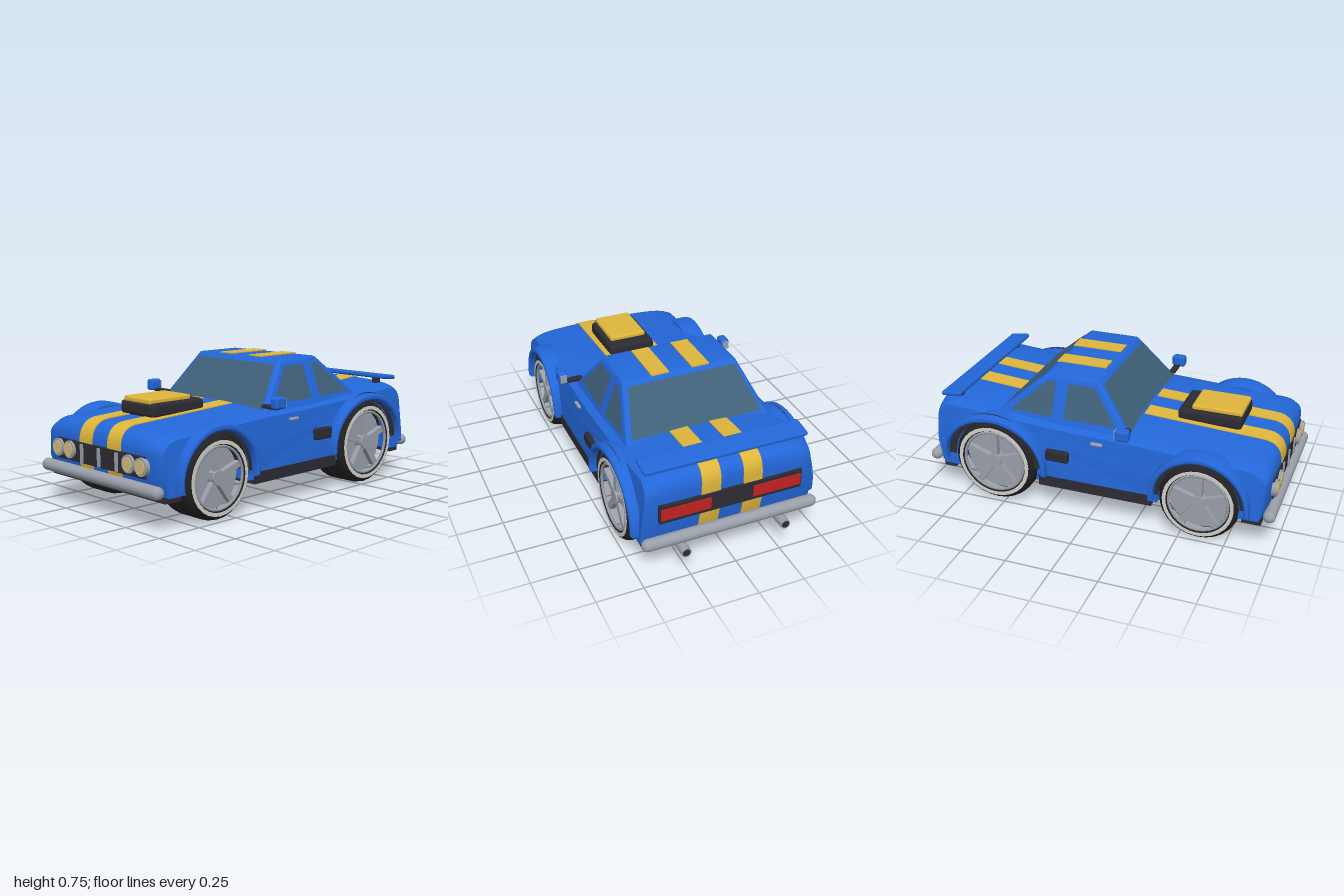
import * as THREE from 'three';
import { toCreasedNormals } from 'three/addons/utils/BufferGeometryUtils.js';
import { RoundedBoxGeometry } from 'three/addons/geometries/RoundedBoxGeometry.js';
import { ConvexGeometry } from 'three/addons/geometries/ConvexGeometry.js';

const paint = (name, color, side = THREE.FrontSide) => new THREE.MeshStandardMaterial({ name, color, side });
const HALF = 0.47; // half width of the body
const AXLES = [
  { name: 'front', z: 0.6, y: 0.217, r: 0.217, arch: 0.225, rx: 0.27, ry: 0.275 },
  { name: 'rear', z: -0.555, y: 0.237, r: 0.237, arch: 0.245, rx: 0.31, ry: 0.28 },
];

// Extrude a (z, y) side profile across x, from x0 to x1
function across(shape, x0, x1, options = {}) {
  const g = new THREE.ExtrudeGeometry(shape, { depth: x1 - x0, bevelEnabled: false, curveSegments: 12, ...options });
  return g.rotateY(-Math.PI / 2).translate(x1, 0, 0);
}

// Crown the top, round its long edges and lean the sides in
function crown(g) {
  const p = g.attributes.position;
  for (let i = 0; i < p.count; i++) {
    const x = p.getX(i), y = p.getY(i), z = p.getZ(i), t = Math.min(1, Math.abs(x) / HALF);
    const inArch = AXLES.some(a => Math.hypot(z - a.z, y - a.y) < a.arch + 0.004);
    const w = inArch ? 0 : THREE.MathUtils.clamp((y - 0.36) / 0.09, 0, 1);
    p.setXYZ(i, x * (1 - 0.2 * Math.max(0, y - 0.3)), y - w * (0.02 * t ** 2 + 0.02 * t ** 10), z * (1 - 0.02 * t ** 10));
  }
  return toCreasedNormals(g, 0.6);
}

// Thin band that follows a run of profile points
function ribbon(pts, x0, x1) {
  const shift = d => pts.map((p, i) => {
    const a = pts[Math.max(0, i - 1)], b = pts[Math.min(pts.length - 1, i + 1)];
    const t = b.clone().sub(a).normalize();
    return new THREE.Vector2(p.x + t.y * d, p.y - t.x * d);
  });
  return crown(across(new THREE.Shape([...shift(0.005), ...shift(-0.004).reverse()]), x0, x1));
}

export function createModel() {
  const car = new THREE.Group();
  car.name = 'car';
  const blue = paint('blue paint', 0x2367d9), gold = paint('gold stripe', 0xdfb63c);
  const trim = paint('black trim', 0x2b2b32, THREE.DoubleSide), rubber = paint('rubber', 0x222226);
  const glass = paint('tinted glass', 0x3f6079, THREE.DoubleSide), chrome = paint('chrome', 0x9aa0aa);
  const cream = paint('lamp lens', 0xd3bd82), red = paint('tail lamp', 0xc32222), white = paint('whitewall', 0xd2d1c9);

  const add = (name, geo, mat, x = 0, y = 0, z = 0, parent = car) => {
    const m = new THREE.Mesh(geo, mat);
    m.name = name;
    m.position.set(x, y, z);
    parent.add(m);
    return m;
  };
  const box = (name, mat, w, h, d, x, y, z, r = 0) =>
    add(name, r ? new RoundedBoxGeometry(w, h, d, 2, r) : new THREE.BoxGeometry(w, h, d), mat, x, y, z);

  // Body shell with open wheel arches
  const body = new THREE.Shape();
  body.moveTo(0.93, 0.165).lineTo(0.955, 0.25).lineTo(0.955, 0.37);
  body.quadraticCurveTo(0.95, 0.465, 0.86, 0.475);
  body.lineTo(0.2, 0.51).lineTo(-0.15, 0.515).lineTo(-0.5, 0.535).lineTo(-0.83, 0.56);
  body.quadraticCurveTo(-0.92, 0.56, -0.92, 0.46);
  body.lineTo(-0.92, 0.3).lineTo(-0.89, 0.165);
  for (const a of [AXLES[1], AXLES[0]]) {
    const s = Math.asin((a.y - 0.165) / a.arch);
    body.absarc(a.z, a.y, a.arch, Math.PI + s, -s, true);
  }
  const shell = across(body, -HALF, HALF, { steps: 16 });
  const sp = shell.attributes.position;
  for (let i = 0; i < sp.count; i++) sp.setX(i, HALF * Math.sin(sp.getX(i) / HALF * Math.PI / 2));
  add('bodyShell', crown(shell), blue);

  // Racing stripes over nose, roof and tail
  const nose = new THREE.Path();
  nose.moveTo(0.948, 0.225).lineTo(0.955, 0.25).lineTo(0.955, 0.37);
  nose.quadraticCurveTo(0.95, 0.465, 0.86, 0.475).lineTo(0.2, 0.51);
  const tail = new THREE.Path();
  tail.moveTo(-0.52, 0.5365).lineTo(-0.83, 0.56);
  tail.quadraticCurveTo(-0.92, 0.56, -0.92, 0.46).lineTo(-0.92, 0.3).lineTo(-0.9, 0.215);
  for (const x of [-0.117, 0.117]) {
    add('noseStripe', ribbon(nose.getPoints(12), x - 0.053, x + 0.053), gold);
    add('tailStripe', ribbon(tail.getPoints(12), x - 0.053, x + 0.053), gold);
    box('roofStripe', gold, 0.1, 0.009, 0.28, x * 0.98, 0.741, -0.16);
  }

  // Underside and sills
  box('floor', trim, 0.5, 0.2, 1.76, 0, 0.24, 0.01);
  box('sills', trim, 0.95, 0.06, 0.64, 0, 0.17, 0.025);
  box('noseValance', trim, 0.92, 0.03, 0.1, 0, 0.155, 0.875);
  box('tailValance', trim, 0.92, 0.03, 0.07, 0, 0.155, -0.845);

  // Cabin: rounded hull around eight corners
  const R = 0.025;
  const halfX = y => 0.385 - (y - 0.49) * 0.36;
  const frontZ = y => 0.165 - (y - 0.49) * 0.8;
  const rearZ = y => -0.53 + (y - 0.5) * 1.16;
  const ball = new THREE.IcosahedronGeometry(R, 1).attributes.position, hull = [];
  for (const y of [0.46, 0.715]) for (const s of [-1, 1]) for (const z of [frontZ(y), rearZ(y)])
    for (let i = 0; i < ball.count; i++)
      hull.push(new THREE.Vector3().fromBufferAttribute(ball, i).add(new THREE.Vector3(s * halfX(y), y, z)));
  add('cabin', toCreasedNormals(new ConvexGeometry(hull), 0.5), blue);

  // Flat panes lying just outside the cabin faces
  const pane = (name, pts) => {
    const v = pts.map(p => new THREE.Vector3(...p));
    const n = v[1].clone().sub(v[0]).cross(v[2].clone().sub(v[0])).normalize();
    if (n.dot(v[0].clone().sub(new THREE.Vector3(0, 0.6, -0.15))) < 0) { n.negate(); v.reverse(); }
    v.forEach(p => p.addScaledVector(n, R + 0.003));
    const g = new THREE.BufferGeometry().setFromPoints([0, 1, 2, 0, 2, 3].map(i => v[i]));
    g.computeVertexNormals();
    add(name, g, glass);
  };
  for (const [name, zAt, lo] of [['windshield', frontZ, 0.48], ['rearWindow', rearZ, 0.515]])
    pane(name, [[-1, lo], [1, lo], [1, 0.697], [-1, 0.697]].map(([s, y]) => [s * (halfX(y) - 0.008), y, zAt(y)]));
  for (const s of [-1, 1]) {
    const side = ([z, y]) => [s * halfX(y), y, z];
    pane('frontSideWindow', [[0.125, 0.515], [-0.018, 0.695], [-0.165, 0.695], [-0.17, 0.515]].map(side));
    pane('rearSideWindow', [[-0.24, 0.515], [-0.235, 0.695], [-0.28, 0.695], [-0.48, 0.525]].map(side));
  }

  // Hood scoop
  box('scoop', trim, 0.27, 0.075, 0.35, 0, 0.517, 0.55, 0.022);
  box('scoopLid', gold, 0.215, 0.03, 0.275, 0, 0.562, 0.583, 0.01);

  // Grille and headlamps
  box('grille', trim, 0.72, 0.11, 0.02, 0, 0.302, 0.953, 0.006);
  for (const x of [-0.143, 0, 0.143]) box('grilleBar', chrome, 0.02, 0.095, 0.015, x, 0.3, 0.963);
  const disc = (r, d) => new THREE.CylinderGeometry(r, r, d, 20).rotateX(Math.PI / 2);
  for (const x of [-0.34, -0.243, 0.243, 0.34]) {
    add('lampRing', disc(0.046, 0.03), chrome, x, 0.307, 0.962);
    add('lampLens', disc(0.036, 0.01), cream, x, 0.307, 0.977);
  }

  // Tail panel and lamps
  box('tailPanel', trim, 0.78, 0.11, 0.02, 0, 0.36, -0.921, 0.006);
  for (const x of [-0.248, 0.248]) box('tailLamp', red, 0.265, 0.065, 0.014, x, 0.36, -0.929);

  // Bumpers and exhausts
  for (const z of [0.965, -0.93])
    add('bumper', new THREE.CapsuleGeometry(0.033, 0.9, 4, 12).rotateZ(Math.PI / 2), chrome, 0, 0.198, z);
  for (const x of [-0.275, 0.275]) {
    add('exhaust', disc(0.027, 0.2), chrome, x, 0.147, -0.9);
    add('exhaustBore', disc(0.02, 0.004), trim, x, 0.147, -0.999);
  }

  // Rear wing
  box('wing', blue, 0.885, 0.026, 0.118, 0, 0.583, -0.815, 0.011).rotation.x = -0.12;
  for (const x of [-0.35, 0.35]) box('wingStrut', trim, 0.03, 0.06, 0.04, x, 0.55, -0.81);

  // Mirrors, door handles and side vents
  for (const s of [-1, 1]) {
    box('mirrorArm', trim, 0.11, 0.02, 0.035, s * 0.435, 0.516, 0.185, 0.006);
    box('mirror', blue, 0.05, 0.064, 0.075, s * 0.497, 0.545, 0.195, 0.015);
    box('mirrorGlass', chrome, 0.036, 0.046, 0.006, s * 0.497, 0.545, 0.156);
    box('doorHandle', chrome, 0.02, 0.015, 0.065, s * 0.461, 0.441, 0.037, 0.005);
    box('sideVent', trim, 0.05, 0.062, 0.13, s * 0.463, 0.335, -0.185, 0.01);
  }

  // Wheels, fender flares and arch liners
  const wheel = (a) => {
    const w = new THREE.Group(), r = a.r;
    const half = [[0.97, 0.008], [1, 0.013], [1, 0.07], [0.975, 0.095], [0.9, 0.115], [0.78, 0.115], [0.74, 0.1]];
    const pts = [...half.map(([k, h]) => [k, -h]).reverse(), ...half].map(([k, h]) => new THREE.Vector2(k * r, h));
    const tyre = new THREE.LatheGeometry(pts, 28).rotateX(Math.PI / 2);
    add('tyre', toCreasedNormals(tyre.toNonIndexed(), 0.5), rubber, 0, 0, 0, w);
    add('whitewall', new THREE.RingGeometry(0.79 * r, 0.88 * r, 28), white, 0, 0, 0.118, w);
    add('rimDish', disc(0.765 * r, 0.165), chrome, 0, 0, -0.0225, w);
    add('rimLip', new THREE.TorusGeometry(0.735 * r, 0.035 * r, 6, 28), chrome, 0, 0, 0.108, w);
    add('hub', disc(0.17 * r, 0.05), chrome, 0, 0, 0.083, w);
    for (let i = 0; i < 5; i++) {
      const spoke = new THREE.BoxGeometry(0.15 * r, 0.66 * r, 0.03).translate(0, 0.4 * r, 0.085);
      add('spoke', spoke, chrome, 0, 0, 0, w).rotation.z = i * Math.PI * 0.4;
    }
    return w;
  };
  for (const a of AXLES) {
    const flare = new THREE.Shape();
    flare.absellipse(a.z, a.y, a.rx, a.ry, -0.12, Math.PI + 0.12, false);
    flare.absellipse(a.z, a.y, a.rx - 0.03, a.ry - 0.04, Math.PI + 0.12, -0.12, true);
    const bevel = { bevelEnabled: true, bevelSize: 0.012, bevelThickness: 0.02, bevelOffset: -0.012, bevelSegments: 2 };
    for (const s of [-1, 1]) {
      const w = wheel(a);
      w.name = a.name + 'Wheel';
      w.position.set(s * 0.375, a.y, a.z);
      w.rotation.y = s * Math.PI / 2;
      car.add(w);
      const x = s * 0.452;
      add(a.name + 'Fender', toCreasedNormals(across(flare, x - 0.04, x + 0.04, bevel), 0.6), blue);
      const liner = new THREE.CylinderGeometry(a.arch - 0.003, a.arch - 0.003, 0.22, 20, 1, true, 0, Math.PI);
      add('archLiner', liner.rotateZ(Math.PI / 2), trim, s * 0.35, a.y, a.z);
      // dark gap between flare and arch
      const gap = new THREE.RingGeometry(a.arch - 0.01, a.rx - 0.025, 24, 1, 0, Math.PI).rotateY(Math.PI / 2);
      add('archGap', gap, trim, s * 0.474, a.y, a.z);
    }
  }
  return car;
}
